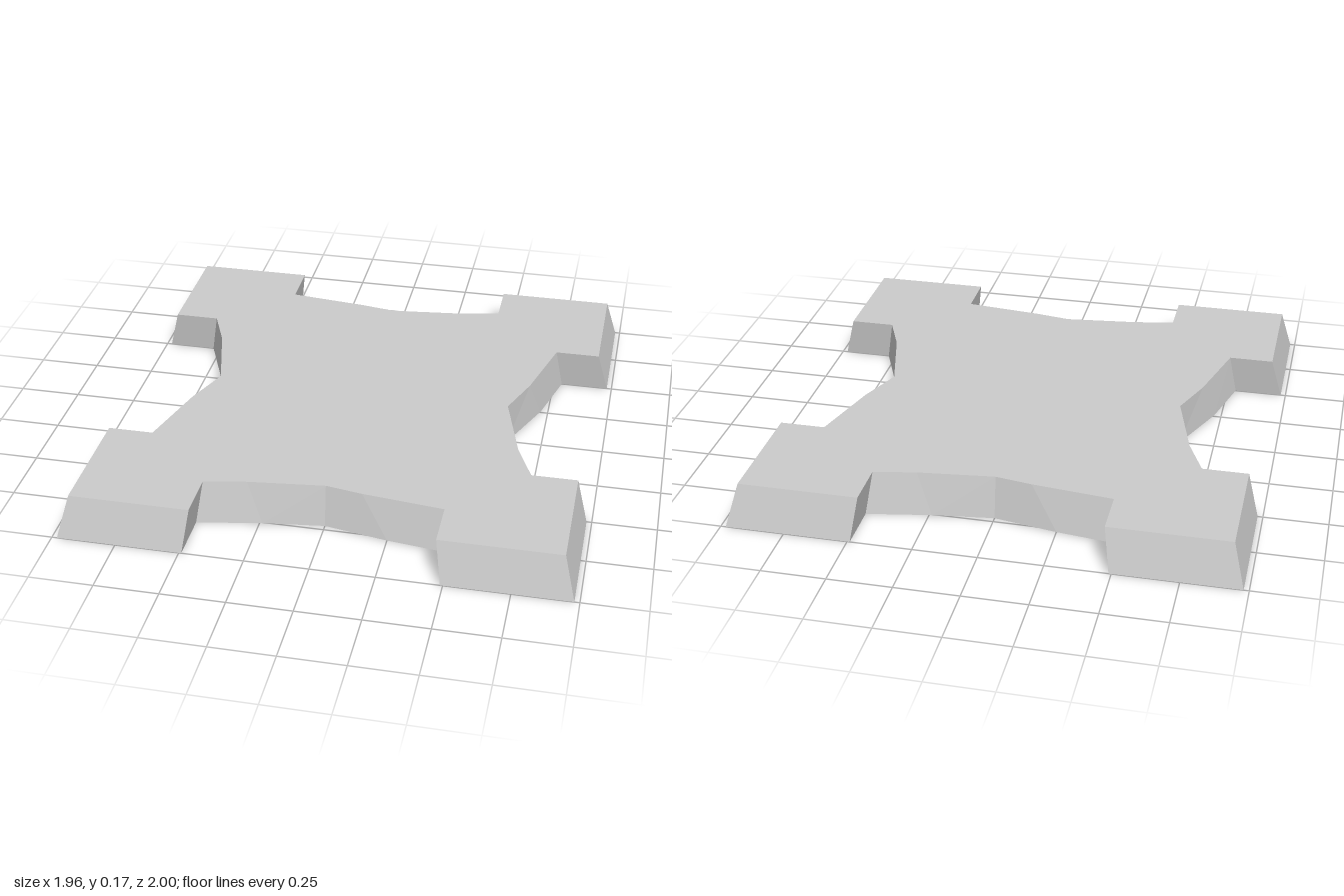
import * as THREE from 'three';

const HEIGHT = 0.17;

// Half outlines as [x, z], from the front middle round the +x side; the rest is a half turn.
const bottomHalf = [
  [0, 0.725], [0.25, 0.77], [0.49, 0.8], [0.49, 1], [0.98, 1], [0.98, 0.5], [0.785, 0.5], [0.675, 0.24],
  [0.61, 0], [0.72, -0.257], [0.785, -0.5], [0.98, -0.5], [0.98, -1], [0.49, -1], [0.49, -0.8], [0.24, -0.755],
];
const topHalf = [
  [0, 0.7], [0.145, 0.725], [0.465, 0.762], [0.465, 0.955], [0.935, 0.955], [0.935, 0.475], [0.755, 0.475], [0.685, 0.31],
  [0.605, 0], [0.675, -0.18], [0.755, -0.475], [0.935, -0.475], [0.935, -0.955], [0.465, -0.955], [0.465, -0.765], [0.3, -0.733],
];

const fullLoop = (half) => [...half, ...half.map(([x, z]) => [-x, -z])];

// Closed solid between two outlines with the same number of points
function taperedSlab(lower, upper, height) {
  const positions = [];
  const low = lower.map(([x, z]) => [x, 0, z]);
  const high = upper.map(([x, z]) => [x, height, z]);
  const face = (...corners) => corners.forEach((p) => positions.push(...p));

  // Sloping walls
  low.forEach((p, i) => {
    const j = (i + 1) % low.length;
    face(p, low[j], high[j]);
    face(p, high[j], high[i]);
  });

  // Top and underside
  const triangles = (loop) =>
    THREE.ShapeUtils.triangulateShape(loop.map(([x, z]) => new THREE.Vector2(x, -z)), []);
  triangles(upper).forEach(([a, b, c]) => face(high[a], high[b], high[c]));
  triangles(lower).forEach(([a, b, c]) => face(low[a], low[c], low[b]));

  const geometry = new THREE.BufferGeometry();
  geometry.setAttribute('position', new THREE.Float32BufferAttribute(positions, 3));
  geometry.computeVertexNormals();
  return geometry;
}

export function createModel() {
  const group = new THREE.Group();
  group.name = 'fourCorneredSlab';

  const stone = new THREE.MeshStandardMaterial({ color: 0xcccccc, flatShading: true });
  stone.name = 'light grey';

  const slab = new THREE.Mesh(taperedSlab(fullLoop(bottomHalf), fullLoop(topHalf), HEIGHT), stone);
  slab.name = 'slab';
  group.add(slab);
  return group;
}
